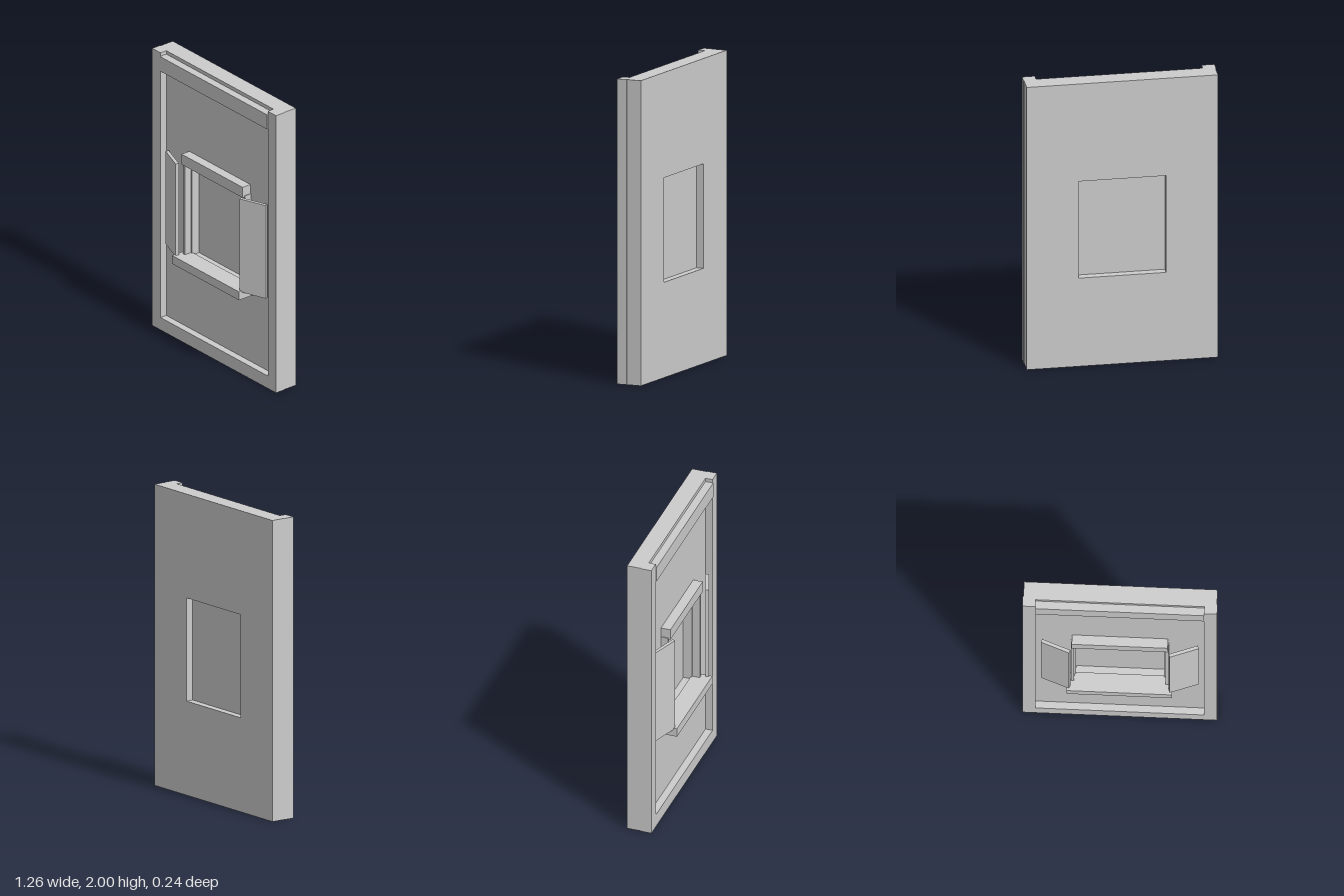
import * as THREE from 'three';

const plaster = new THREE.MeshStandardMaterial({ color: 0xcccccc });
plaster.name = 'light grey';

// Box given by its lower and upper limits on each axis
function box(parent, name, [x0, x1], [y0, y1], [z0, z1]) {
  const mesh = new THREE.Mesh(new THREE.BoxGeometry(x1 - x0, y1 - y0, z1 - z0), plaster);
  mesh.position.set((x0 + x1) / 2, (y0 + y1) / 2, (z0 + z1) / 2);
  mesh.name = name;
  parent.add(mesh);
  return mesh;
}

function rect(target, x, y0, y1) {
  target.moveTo(-x, y0);
  target.lineTo(x, y0);
  target.lineTo(x, y1);
  target.lineTo(-x, y1);
  target.closePath();
  return target;
}

export function createModel() {
  const model = new THREE.Group();
  model.name = 'wallWithWindow';

  // Wall slab with the window opening
  const shape = rect(new THREE.Shape(), 0.625, 0, 2);
  shape.holes.push(rect(new THREE.Path(), 0.285, 0.625, 1.31));
  const wall = new THREE.Mesh(
    new THREE.ExtrudeGeometry(shape, { depth: 0.12, bevelEnabled: false }), plaster);
  wall.position.z = -0.12;
  wall.name = 'wall';
  model.add(wall);

  // Raised border around the wall, with a lowered top rail
  box(model, 'topRail', [-0.545, 0.545], [1.87, 1.975], [-0.02, 0.053]);
  box(model, 'bottomRail', [-0.545, 0.545], [0, 0.09], [-0.02, 0.048]);

  // Window pane, lintel and sill
  box(model, 'windowPane', [-0.287, 0.287], [0.62, 1.312], [-0.07, -0.06]);
  box(model, 'lintel', [-0.31, 0.31], [1.29, 1.365], [-0.01, 0.065]);
  box(model, 'sill', [-0.34, 0.34], [0.58, 0.64], [-0.01, 0.12]);

  for (const [side, s] of [['left', 1], ['right', -1]]) {
    const span = (a, b) => (s > 0 ? [a, b] : [-b, -a]);
    box(model, side + 'Post', span(0.545, 0.629), [0, 2], [-0.02, 0.048]);
    box(model, side + 'Casing', span(0.295, 0.315), [0.63, 1.3], [-0.01, 0.05]);

    // Open shutter, its inner edge swung forward
    const shutter = box(model, side + 'Shutter', [-0.0985, 0.0985], [0.63, 1.3], [-0.011, 0.011]);
    shutter.position.x = s * 0.414;
    shutter.position.z = 0.058;
    shutter.rotation.y = s * 0.35;
  }

  // Centre the depth on z = 0
  const bounds = new THREE.Box3().setFromObject(model);
  const shift = (bounds.min.z + bounds.max.z) / 2;
  for (const part of model.children) part.position.z -= shift;
  return model;
}
